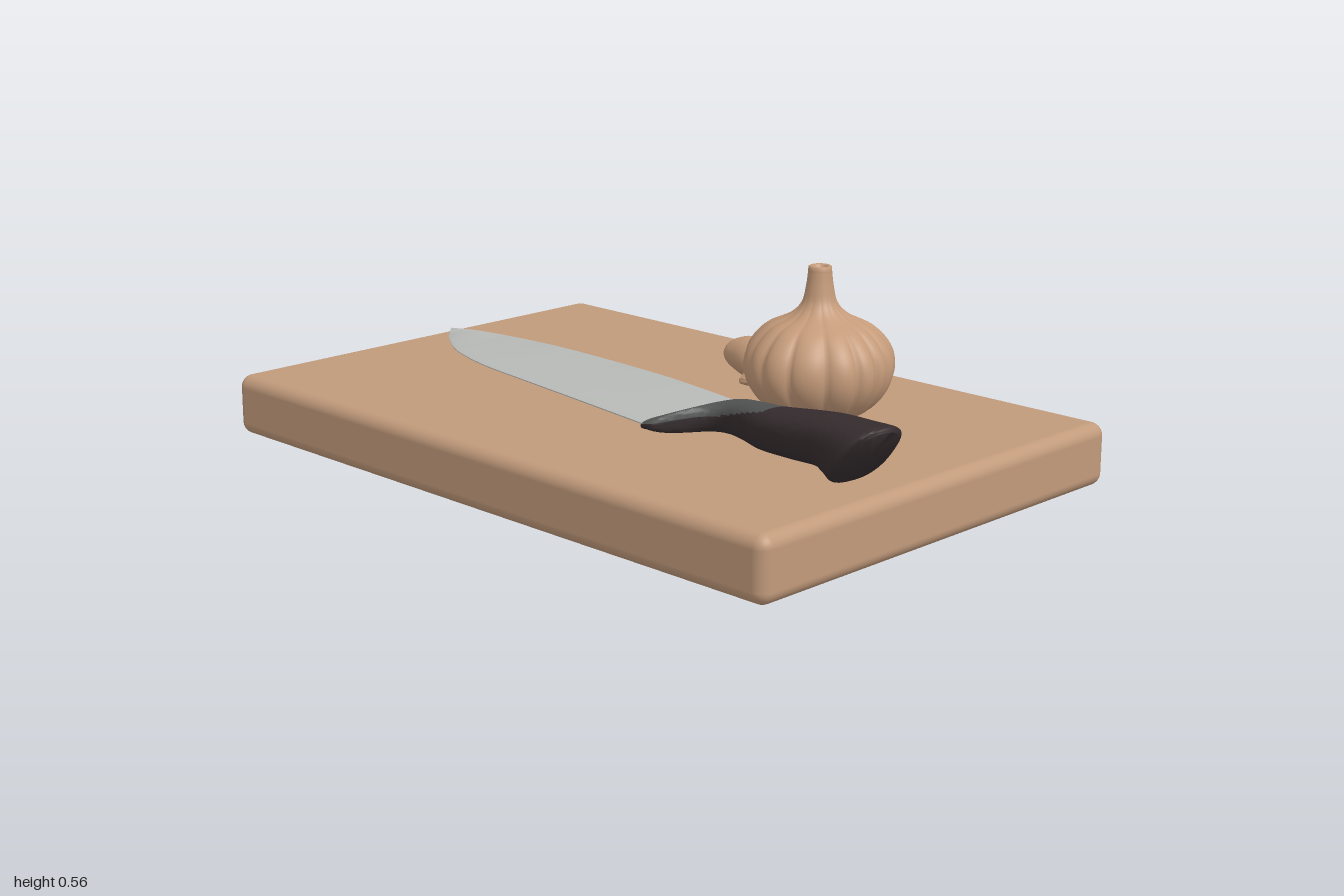
import * as THREE from 'three';
import { mergeVertices, toCreasedNormals } from 'three/addons/utils/BufferGeometryUtils.js';
import { RoundedBoxGeometry } from 'three/addons/geometries/RoundedBoxGeometry.js';

const material = (name, color) => {
  const m = new THREE.MeshStandardMaterial({ color });
  m.name = name;
  return m;
};

// Closed cross-section of points (u, v): u runs back to front, v bottom to top, both -1..1
function ovalSection(count, power) {
  const bend = (c) => Math.sign(c) * Math.abs(c) ** power;
  return Array.from({ length: count }, (_, j) => {
    const a = (j / count) * Math.PI * 2;
    return [bend(Math.cos(a)), bend(Math.sin(a))];
  });
}

// Sweeps a section through stations [backX, backZ, frontX, frontZ, lowY, highY, lean].
// pick(station, v) chooses the material index of each face.
function loft(stations, section, steps, crease, pick = () => 0) {
  const curve = (f) => new THREE.CatmullRomCurve3(stations.map(f), false, 'catmullrom', 0.5);
  const back = curve((s) => new THREE.Vector3(s[0], 0, s[1]));
  const front = curve((s) => new THREE.Vector3(s[2], 0, s[3]));
  const height = curve((s) => new THREE.Vector3(s[4], s[5], s[6] || 0));
  const n = section.length;
  const pos = [];
  const faces = [[], []];
  for (let i = 0; i <= steps; i++) {
    const t = i / steps;
    const b = back.getPoint(t), f = front.getPoint(t), h = height.getPoint(t);
    for (const [u, v] of section) {
      const p = b.clone().lerp(f, (u + 1) / 2);
      pos.push(p.x + h.z * v, THREE.MathUtils.lerp(h.x, h.y, (v + 1) / 2), p.z);
    }
  }
  for (let i = 0; i < steps; i++) {
    for (let j = 0; j < n; j++) {
      const k = (j + 1) % n, a = i * n, b = a + n;
      const v = (section[j][1] + section[k][1]) / 2;
      const slot = pick(((i + 0.5) / steps) * (stations.length - 1), v);
      faces[slot].push(a + j, b + j, a + k, b + j, b + k, a + k);
    }
  }
  // end caps
  for (const end of [0, steps]) {
    const centre = pos.length / 3, c = [0, 0, 0];
    for (let j = 0; j < n; j++) for (let d = 0; d < 3; d++) c[d] += pos[(end * n + j) * 3 + d] / n;
    pos.push(...c);
    for (let j = 0; j < n; j++) {
      const p = end * n + j, q = end * n + ((j + 1) % n);
      faces[0].push(centre, end ? q : p, end ? p : q);
    }
  }
  const g = new THREE.BufferGeometry();
  g.setAttribute('position', new THREE.Float32BufferAttribute(pos, 3));
  g.setIndex([...faces[0], ...faces[1]]);
  g.addGroup(0, faces[0].length, 0);
  g.addGroup(faces[0].length, faces[1].length, 1);
  return toCreasedNormals(g, crease);
}

// Lathed bulb whose radius is pinched into uneven cloves, fading out up the neck
function bulbGeometry() {
  const outline = new THREE.SplineCurve([
    [0.03, 0.182], [0.09, 0.17], [0.14, 0.188], [0.182, 0.24], [0.197, 0.295], [0.184, 0.35],
    [0.14, 0.4], [0.078, 0.432], [0.047, 0.465], [0.036, 0.51], [0.031, 0.55],
  ].map(([r, y]) => new THREE.Vector2(r, y))).getPoints(50);
  const ends = [[0.031, 0.56], [0.026, 0.563], [0.016, 0.56], [0.012, 0.54], [0, 0.54]];
  const profile = [new THREE.Vector2(0, 0.185), ...outline, ...ends.map((e) => new THREE.Vector2(...e))];
  let g = new THREE.LatheGeometry(profile, 144);
  g.deleteAttribute('uv');
  g.deleteAttribute('normal');
  const p = g.attributes.position;
  for (let i = 0; i < p.count; i++) {
    const x = p.getX(i), y = p.getY(i), z = p.getZ(i);
    const a = Math.atan2(z, x);
    const fade = 1 - THREE.MathUtils.smoothstep(y, 0.36, 0.52);
    const lobe = Math.abs(Math.sin(a * 7.5 + 0.7 * Math.sin(2 * a) + 0.5 * Math.sin(3 * a + 1)));
    const k = 1 + fade * (0.1 * (Math.sqrt(lobe) - 0.85) + 0.02 * Math.sin(5 * a));
    p.setXYZ(i, x * k, y, z * k);
  }
  g = mergeVertices(g, 1e-5);
  g.computeVertexNormals();
  return g;
}

export function createModel() {
  const wood = material('warm wood', 0xc19a7b);
  const garlic = material('garlic skin', 0xc59b7a);
  const steel = material('blade steel', 0xb9bbb9);
  const black = material('handle black', 0x352c2e);
  const grey = material('bolster grey', 0x525353);

  const model = new THREE.Group();
  const add = (name, geometry, mat, parent = model) => {
    const mesh = new THREE.Mesh(geometry, mat);
    mesh.name = name;
    parent.add(mesh);
    return mesh;
  };

  // cutting board
  add('cuttingBoard', new RoundedBoxGeometry(2, 0.17, 1.32, 5, 0.035), wood).position.y = 0.085;

  // garlic bulb and a loose clove
  add('garlicBulb', bulbGeometry(), garlic).position.set(0.4, 0, -0.205);
  const clove = [
    [-0.062, -0.345, -0.06, -0.335, 0.215, 0.235],
    [-0.02, -0.375, -0.045, -0.315, 0.19, 0.265],
    [0.04, -0.4, 0, -0.295, 0.17, 0.284],
    [0.1, -0.388, 0.04, -0.28, 0.168, 0.284],
    [0.15, -0.335, 0.07, -0.27, 0.168, 0.27],
    [0.163, -0.28, 0.085, -0.26, 0.172, 0.245],
    [0.135, -0.24, 0.09, -0.245, 0.178, 0.218],
    [0.105, -0.223, 0.095, -0.228, 0.185, 0.2],
  ];
  add('garlicClove', loft(clove, ovalSection(32, 1.1), 40, 1), garlic);

  // knife: wedge-section blade, thick at the spine
  const knife = new THREE.Group();
  knife.name = 'knife';
  model.add(knife);
  const blade = [
    [-0.965, -0.092, -0.962, -0.088, 0.172, 0.182],
    [-0.87, -0.106, -0.88, -0.012, 0.173, 0.189],
    [-0.72, -0.112, -0.73, 0.085, 0.176, 0.196],
    [-0.5, -0.105, -0.53, 0.158, 0.181, 0.205],
    [-0.25, -0.082, -0.29, 0.207, 0.187, 0.212],
    [0.03, -0.045, -0.03, 0.255, 0.192, 0.219],
    [0.335, 0.01, 0.255, 0.3, 0.194, 0.222],
  ];
  const wedge = [[1, 0.1], [0.85, 0.5], [-0.98, 1], [-1, 0.9], [-1, -0.9], [-0.98, -1], [0.85, -0.5], [1, -0.1]];
  add('blade', loft(blade, wedge, 48, 0.5), steel, knife);

  // handle with a grey bolster tongue tapering along its top
  const handle = [
    [0.335, 0.01, 0.25, 0.302, 0.182, 0.224],
    [0.35, 0.018, 0.288, 0.288, 0.176, 0.238],
    [0.37, 0.025, 0.335, 0.188, 0.172, 0.25],
    [0.41, 0.04, 0.39, 0.158, 0.172, 0.26],
    [0.5, 0.07, 0.47, 0.185, 0.176, 0.275],
    [0.6, 0.095, 0.57, 0.235, 0.181, 0.29],
    [0.72, 0.11, 0.69, 0.268, 0.19, 0.31],
    [0.82, 0.13, 0.79, 0.285, 0.197, 0.325],
    [0.9, 0.15, 0.86, 0.305, 0.19, 0.333, 0.03],
    [0.95, 0.156, 0.92, 0.33, 0.184, 0.336, 0.05],
    [0.965, 0.18, 0.94, 0.312, 0.2, 0.325, 0.045],
  ];
  const onBolster = (s, v) => (s < 5 && v > 0.25 + Math.max(0, s - 3) * 0.33 ? 1 : 0);
  add('handle', loft(handle, ovalSection(48, 0.8), 80, 0.8, onBolster), [black, grey], knife);

  return model;
}
